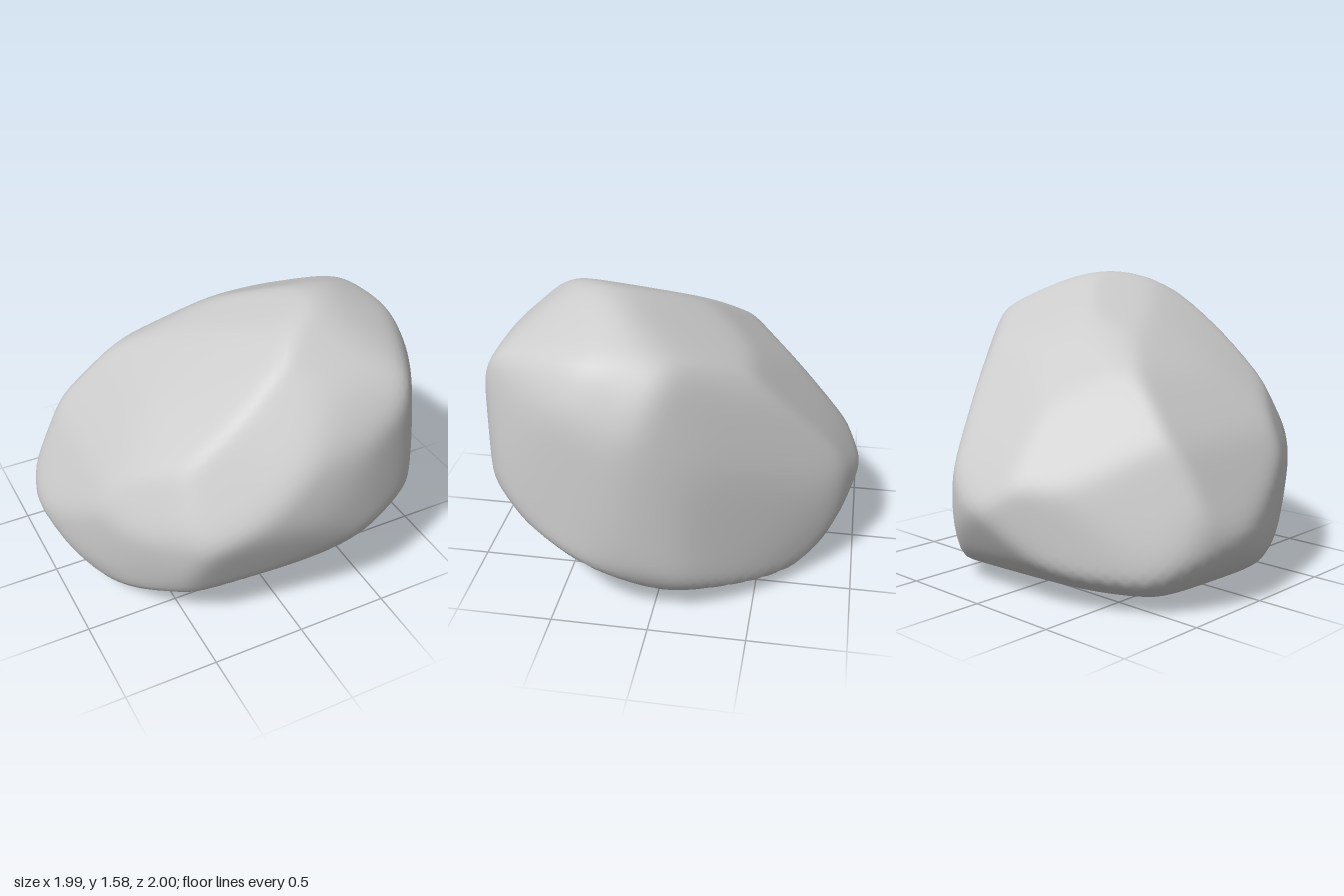
import * as THREE from 'three';
import { mergeVertices } from 'three/addons/utils/BufferGeometryUtils.js';

const CENTRE_Y = 0.795;
const SHARPNESS = 50; // higher gives crisper ridges
const ROUNDING = 1.028; // planes sit slightly outside to make up for the rounded ridges

// Cutting planes (normal + distance from the centre), one per edge of an outline
// that is swept along a viewing direction given by azimuth and elevation in degrees.
function cuts(azimuth, elevation, points, vCentre = 0) {
  const a = THREE.MathUtils.degToRad(azimuth), e = THREE.MathUtils.degToRad(elevation);
  const right = new THREE.Vector3(Math.cos(a), 0, -Math.sin(a));
  const up = new THREE.Vector3(-Math.sin(a) * Math.sin(e), Math.cos(e), -Math.cos(a) * Math.sin(e));
  const planes = [];
  for (let i = 0; i < points.length; i += 2) {
    const j = (i + 2) % points.length;
    const u = points[i], v = points[i + 1] - vCentre;
    const du = points[j] - u, dv = points[j + 1] - vCentre - v;
    const normal = right.clone().multiplyScalar(dv).addScaledVector(up, -du).normalize();
    let distance = (u * dv - v * du) / Math.hypot(du, dv);
    if (distance < 0) { normal.negate(); distance = -distance; }
    planes.push({ normal, distance: distance * ROUNDING });
  }
  return planes;
}

// Single cutting plane through a point
function facet(normal, point) {
  const n = new THREE.Vector3(...normal).normalize();
  const p = new THREE.Vector3(...point);
  p.y -= CENTRE_Y;
  return { normal: n, distance: n.dot(p) * ROUNDING };
}

// Outlines of the boulder
const frontOutline = [-1, 0.37, -0.87, 0.12, -0.6, 0.03, -0.28, 0, 0.42, 0.06, 0.83, 0.14, 0.95, 0.32, 0.99, 0.68,
  0.97, 1.05, 0.83, 1.4, 0.5, 1.56, 0.28, 1.59, 0, 1.48, -0.48, 1.12, -0.77, 0.81];
const sideOutline = [-1, 0.73, -0.97, 0.55, -0.85, 0.32, -0.73, 0.23, -0.43, 0.14, 0.05, 0.0, 0.62, 0.06, 0.78, 0.12,
  1, 0.49, 0.85, 0.73, 0.4, 1.25, -0.07, 1.53, -0.35, 1.59, -0.53, 1.54, -0.73, 1.42, -0.94, 1.07];
const topOutline = [-1, 0.17, -0.97, 0.3, -0.85, 0.53, -0.7, 0.65, -0.03, 1, 0.13, 0.97, 0.36, 0.86, 0.6, 0.6,
  0.89, 0.18, 0.99, -0.14, 0.95, -0.33, 0.76, -0.76, 0.69, -0.83, 0.43, -0.93, 0.05, -1, -0.4, -0.93,
  -0.55, -0.87, -0.7, -0.68, -0.92, -0.17];
const frontCornerOutline = [0.135, 0.6, 0.626, 0.42, 0.69, 0.33, 0.815, -0.09, 0.833, -0.63, 0.69, -0.79,
  -0.21, -0.78, -0.81, -0.64, -0.915, -0.48, -0.965, -0.2, -0.8, 0.14, -0.49, 0.365, -0.19, 0.535];
const backCornerOutline = [-0.1, 0.95, 0.085, 0.94, 0.35, 0.82, 0.607, 0.566, 0.953, 0.05, 0.965, -0.12, 0.87, -0.59,
  0.74, -0.805, 0.305, -1.02, -0.1, -0.98, -0.777, -0.76, -0.84, -0.42, -0.808, 0.176, -0.69, 0.68, -0.456, 0.893];
const underCornerOutline = [-0.657, 0.76, -0.36, 0.76, -0.03, 0.67, 0.525, 0.333, 0.82, -0.01, 0.997, -0.56,
  0.82, -0.75, 0.443, -0.95, -0.11, -0.91, -0.72, -0.61, -0.93, -0.434, -1.085, -0.21, -1, 0.38, -0.815, 0.7];

export function createModel() {
  const planes = [
    ...cuts(0, 0, frontOutline, CENTRE_Y),
    ...cuts(90, 0, sideOutline, CENTRE_Y),
    ...cuts(0, 90, topOutline),
    ...cuts(40, 20, frontCornerOutline),
    ...cuts(220, 30, backCornerOutline),
    ...cuts(140, -25, underCornerOutline),
    // Lower front face, leaning inwards
    facet([-0.15, -0.4, 1], [0.05, 0.7, 0.99]),
    // Underside, and its steeper front corner
    facet([0.058, -1, 0.354], [-0.28, 0, -0.05]),
    facet([0.4, -1, 0.5], [0.45, 0.45, 0.94]),
    // Worn ridge running down the back
    facet([-0.335, 0.869, -0.365], [-0.217, 1.24, -0.29]),
  ];

  // Sphere shrunk onto the cutting planes, with softly rounded ridges
  let geometry = new THREE.IcosahedronGeometry(1, 28);
  geometry.deleteAttribute('normal');
  geometry.deleteAttribute('uv');
  geometry = mergeVertices(geometry, 1e-5);
  const position = geometry.attributes.position;
  const dir = new THREE.Vector3();
  for (let i = 0; i < position.count; i++) {
    dir.fromBufferAttribute(position, i).normalize();
    let sum = 0;
    for (const { normal, distance } of planes) {
      sum += Math.pow(Math.max(0, normal.dot(dir)) / distance, SHARPNESS);
    }
    dir.multiplyScalar(Math.pow(sum, -1 / SHARPNESS));
    position.setXYZ(i, dir.x, dir.y + CENTRE_Y, dir.z);
  }
  geometry.computeVertexNormals();

  const boulder = new THREE.Mesh(geometry, new THREE.MeshStandardMaterial({ color: 0xcccccc }));
  boulder.name = 'boulder';
  const group = new THREE.Group();
  group.name = 'rock';
  group.add(boulder);
  return group;
}
